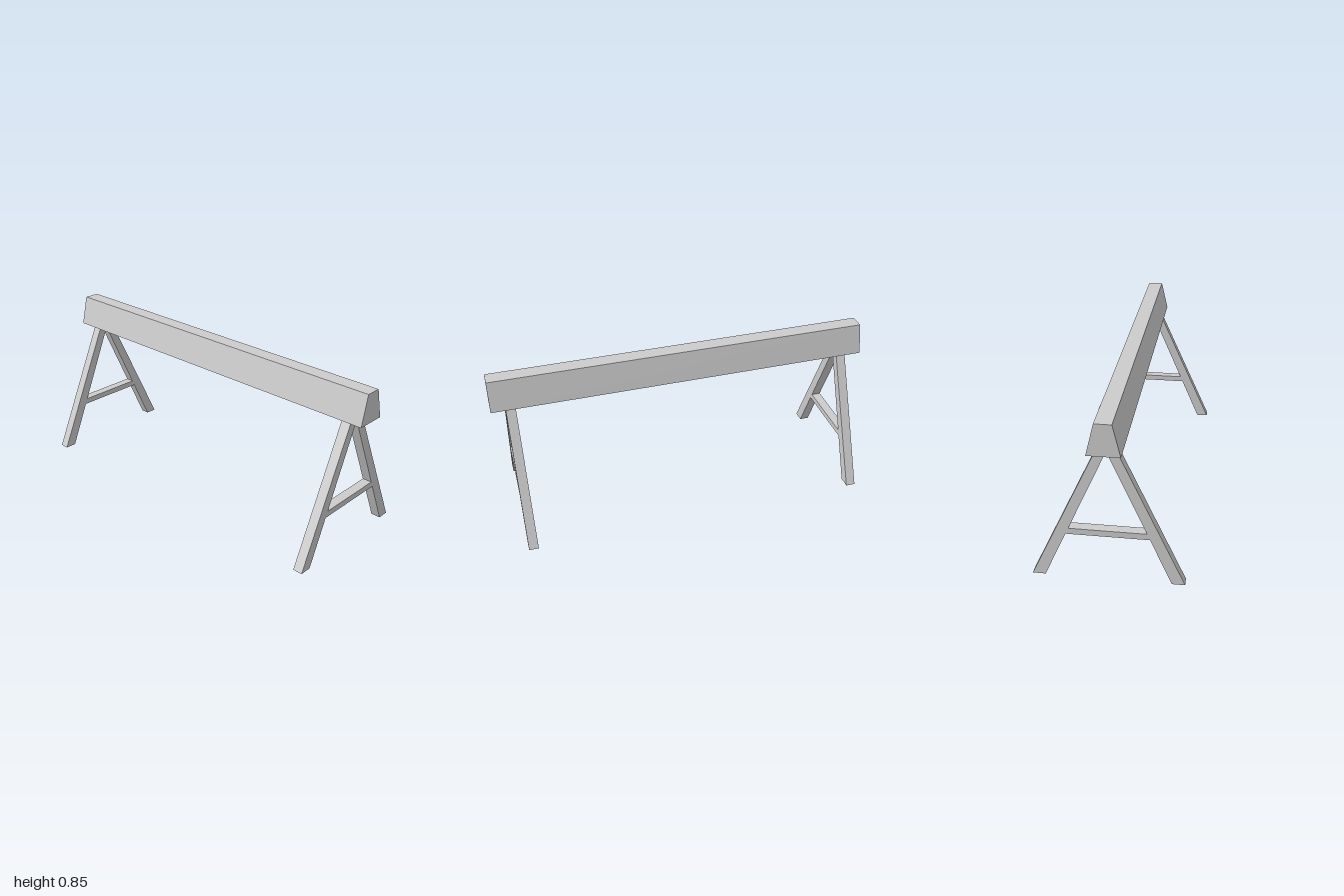
import * as THREE from 'three';

const material = new THREE.MeshStandardMaterial({ color: 0xcccccc, flatShading: true });

// Extrudes a [z, y] outline along x, centred on the given x
function plank(name, outline, length, x) {
  const shape = new THREE.Shape(outline.map(([z, y]) => new THREE.Vector2(-z, y)));
  const geometry = new THREE.ExtrudeGeometry(shape, { depth: length, bevelEnabled: false });
  geometry.translate(0, 0, -length / 2).rotateY(Math.PI / 2);
  const mesh = new THREE.Mesh(geometry, material);
  mesh.name = name;
  mesh.position.x = x;
  return mesh;
}

export function createModel() {
  const model = new THREE.Group();
  model.name = 'trestle';

  // Tapered top beam
  const beam = [[-0.077, 0.695], [0.077, 0.695], [0.04, 0.85], [-0.04, 0.85]];
  model.add(plank('beam', beam, 2, 0));

  // Splayed leg, trimmed at the floor, the centre line and the beam
  const leg = [[0.3, 0], [0.362, 0], [0.049, 0.68], [0.049, 0.695], [0, 0.695], [0, 0.68]];
  // Cross brace cut to the slope of the legs
  const brace = [[-0.197, 0.236], [0.197, 0.236], [0.183, 0.267], [-0.183, 0.267]];

  for (const side of [-1, 1]) {
    const frame = new THREE.Group();
    frame.name = side > 0 ? 'leftFrame' : 'rightFrame';
    frame.position.x = side * 0.9;
    frame.add(
      plank('frontLeg', leg, 0.05, 0),
      plank('backLeg', leg.map(([z, y]) => [-z, y]), 0.05, 0),
      plank('crossBrace', brace, 0.05, 0)
    );
    model.add(frame);
  }
  return model;
}
